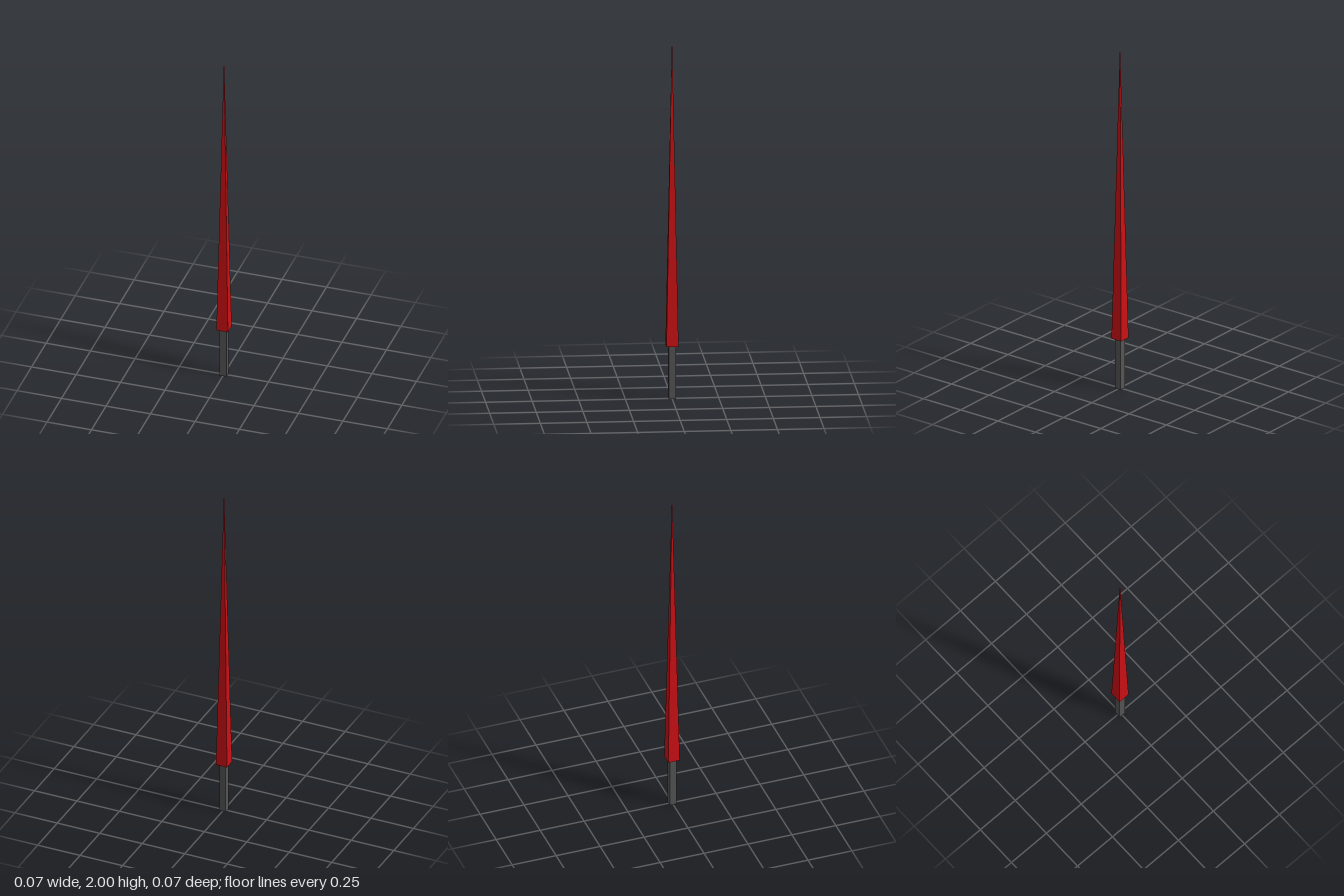
import * as THREE from 'three';

export function createModel() {
  const model = new THREE.Group();

  // Square-sided prism or pyramid with its faces turned to the axes
  function squarePart(name, topHalf, bottomHalf, y0, y1, color) {
    const geometry = new THREE.CylinderGeometry(topHalf * Math.SQRT2, bottomHalf * Math.SQRT2, y1 - y0, 4);
    geometry.rotateY(Math.PI / 4);
    geometry.translate(0, (y0 + y1) / 2, 0);
    const mesh = new THREE.Mesh(geometry, new THREE.MeshStandardMaterial({ color, flatShading: true }));
    mesh.name = name;
    model.add(mesh);
  }

  // Plain square handle
  squarePart('handle', 0.019, 0.019, 0, 0.29, 0x555555);
  // Long blade tapering to a point
  squarePart('spike', 0, 0.0325, 0.29, 2, 0xcc1014);

  return model;
}
